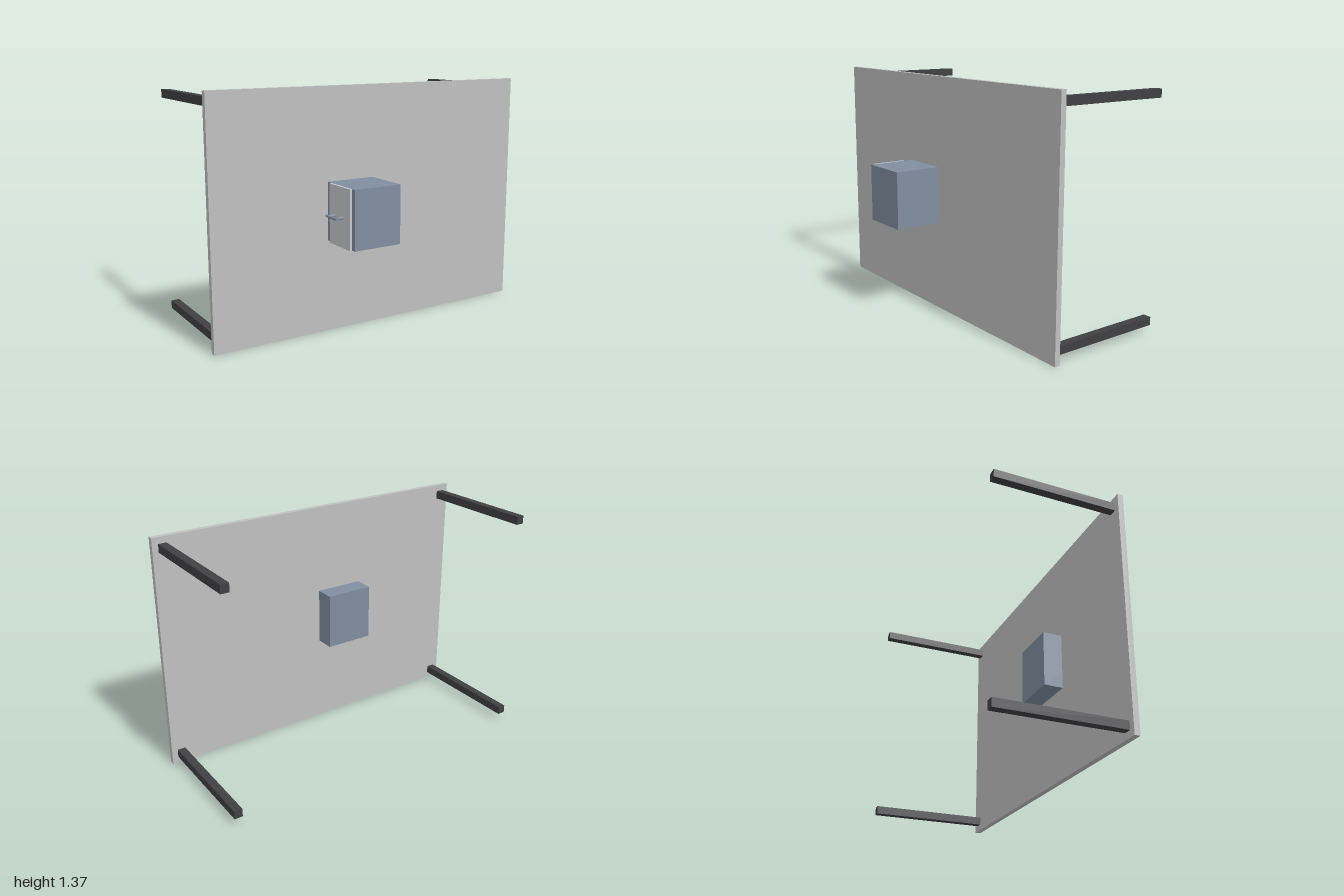
import * as THREE from 'three';

const material = (name, color) => {
  const m = new THREE.MeshStandardMaterial({ color });
  m.name = name;
  return m;
};

export function createModel() {
  const model = new THREE.Group();
  const panelGrey = material('panel grey', 0xc0c0c0);
  const darkGrey = material('dark grey', 0x404044);
  const steelBlue = material('steel blue', 0x808ea0);
  const paleGrey = material('pale grey', 0xc6cacf);

  // Box given by its lower and upper corners
  const box = (name, mat, [x0, y0, z0], [x1, y1, z1]) => {
    const mesh = new THREE.Mesh(new THREE.BoxGeometry(x1 - x0, y1 - y0, z1 - z0), mat);
    mesh.position.set((x0 + x1) / 2, (y0 + y1) / 2, (z0 + z1) / 2);
    mesh.name = name;
    model.add(mesh);
  };

  // Upright panel with four legs reaching backwards
  box('panel', panelGrey, [-1, 0, 0.197], [1, 1.367, 0.229]);
  const half = 0.0235;
  for (const x of [-0.942, 0.942]) {
    for (const y of [0.06, 1.307]) {
      box('leg', darkGrey, [x - half, y - half, -0.5], [x + half, y + half, 0.197]);
    }
  }

  // Cabinet passing through the panel, with a door on its right side
  box('cabinet', steelBlue, [-0.31, 0.521, 0.083], [-0.02, 0.85, 0.502]);
  box('door', paleGrey, [-0.325, 0.521, 0.272], [-0.31, 0.85, 0.477]);

  // Door handle: a grip bar on two posts
  const handle = new THREE.Group();
  handle.name = 'handle';
  const rod = (name, radius, length) => {
    const mesh = new THREE.Mesh(new THREE.CylinderGeometry(radius, radius, length, 16), steelBlue);
    mesh.name = name;
    handle.add(mesh);
    return mesh;
  };
  const grip = rod('handleGrip', 0.008, 0.108);
  grip.rotation.x = Math.PI / 2;
  grip.position.set(-0.37, 0.686, 0.371);
  for (const z of [0.332, 0.41]) {
    const post = rod('handlePost', 0.006, 0.045);
    post.rotation.z = Math.PI / 2;
    post.position.set(-0.3475, 0.686, z);
  }
  model.add(handle);

  return model;
}
